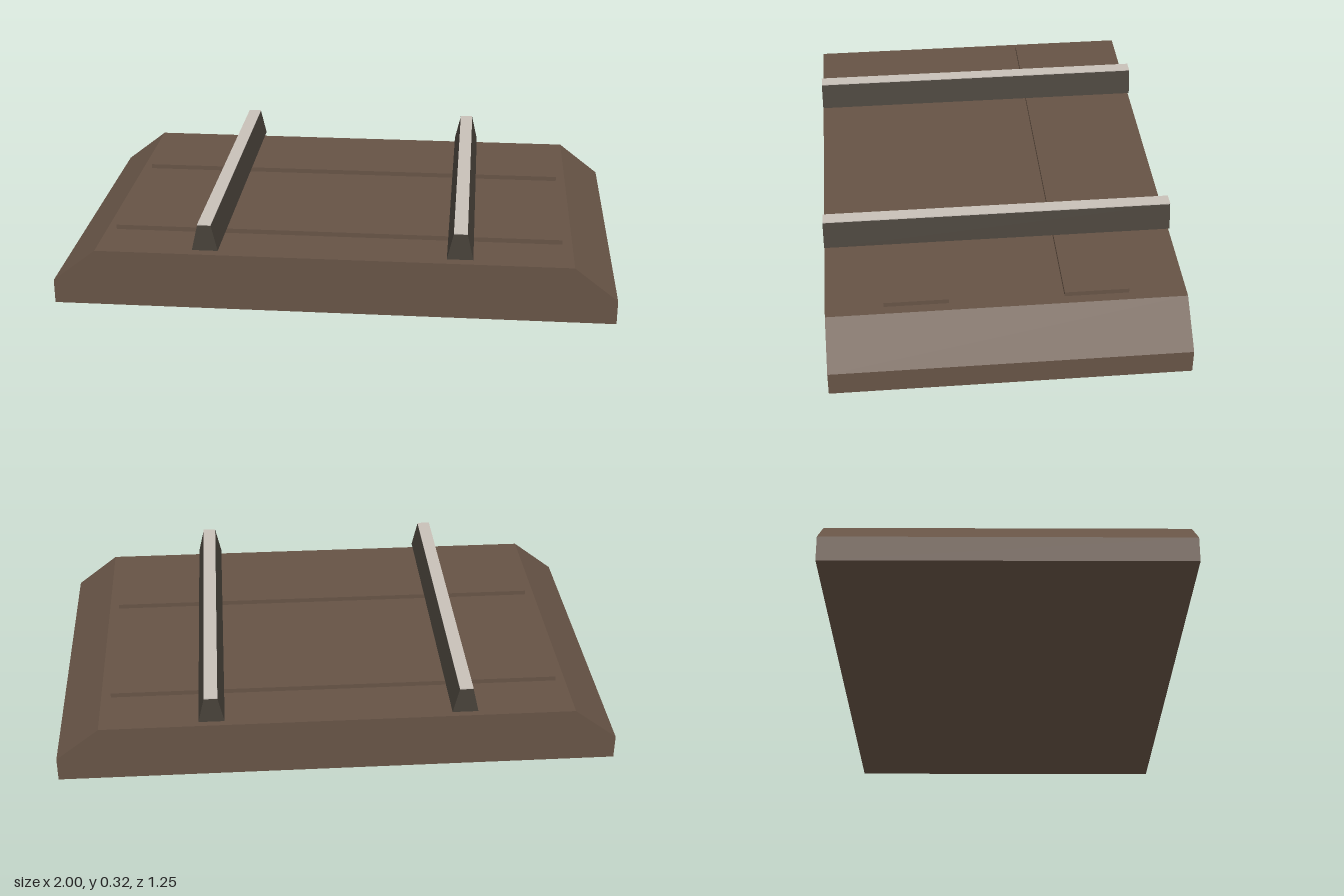
import * as THREE from 'three';

const DEPTH = 1.25;

// Extrude a front-view outline along z, centred on z = 0
function prism(points, depth, material, name) {
  const shape = new THREE.Shape(points.map(([x, y]) => new THREE.Vector2(x, y)));
  const geometry = new THREE.ExtrudeGeometry(shape, { depth, bevelEnabled: false });
  geometry.translate(0, 0, -depth / 2);
  const mesh = new THREE.Mesh(geometry, material);
  mesh.name = name;
  return mesh;
}

function box(w, h, d, x, y, z, material, name) {
  const mesh = new THREE.Mesh(new THREE.BoxGeometry(w, h, d), material);
  mesh.position.set(x, y, z);
  mesh.name = name;
  return mesh;
}

export function createModel() {
  const wood = new THREE.MeshStandardMaterial({ color: 0x665345 });
  wood.name = 'brown wood';
  const iron = new THREE.MeshStandardMaterial({ color: 0x474139 });
  iron.name = 'dark iron';
  const steel = new THREE.MeshStandardMaterial({ color: 0xc8c0b8 });
  steel.name = 'polished steel';

  const model = new THREE.Group();
  model.name = 'trackSection';

  // Bed with sloping shoulders
  model.add(prism(
    [[-1, 0], [1, 0], [1, 0.088], [0.845, 0.208], [-0.845, 0.208], [-1, 0.088]],
    DEPTH, wood, 'bed'));

  // Two sleepers across the bed, slightly sunk into it
  for (const side of [1, -1]) {
    const name = side > 0 ? 'frontSleeper' : 'backSleeper';
    model.add(box(1.62, 0.04, 0.225, 0, 0.205, side * 0.3125, wood, name));
  }

  // Tapered rails resting on the sleepers, each with a bright running surface
  for (const side of [1, -1]) {
    const rail = new THREE.Group();
    rail.name = side > 0 ? 'leftRail' : 'rightRail';
    rail.position.x = side * 0.448;
    rail.add(prism(
      [[-0.046, 0.225], [0.046, 0.225], [0.024, 0.32], [-0.024, 0.32]],
      DEPTH, iron, 'railBody'));
    rail.add(box(0.048, 0.003, DEPTH, 0, 0.3215, 0, steel, 'runningSurface'));
    model.add(rail);
  }

  return model;
}
